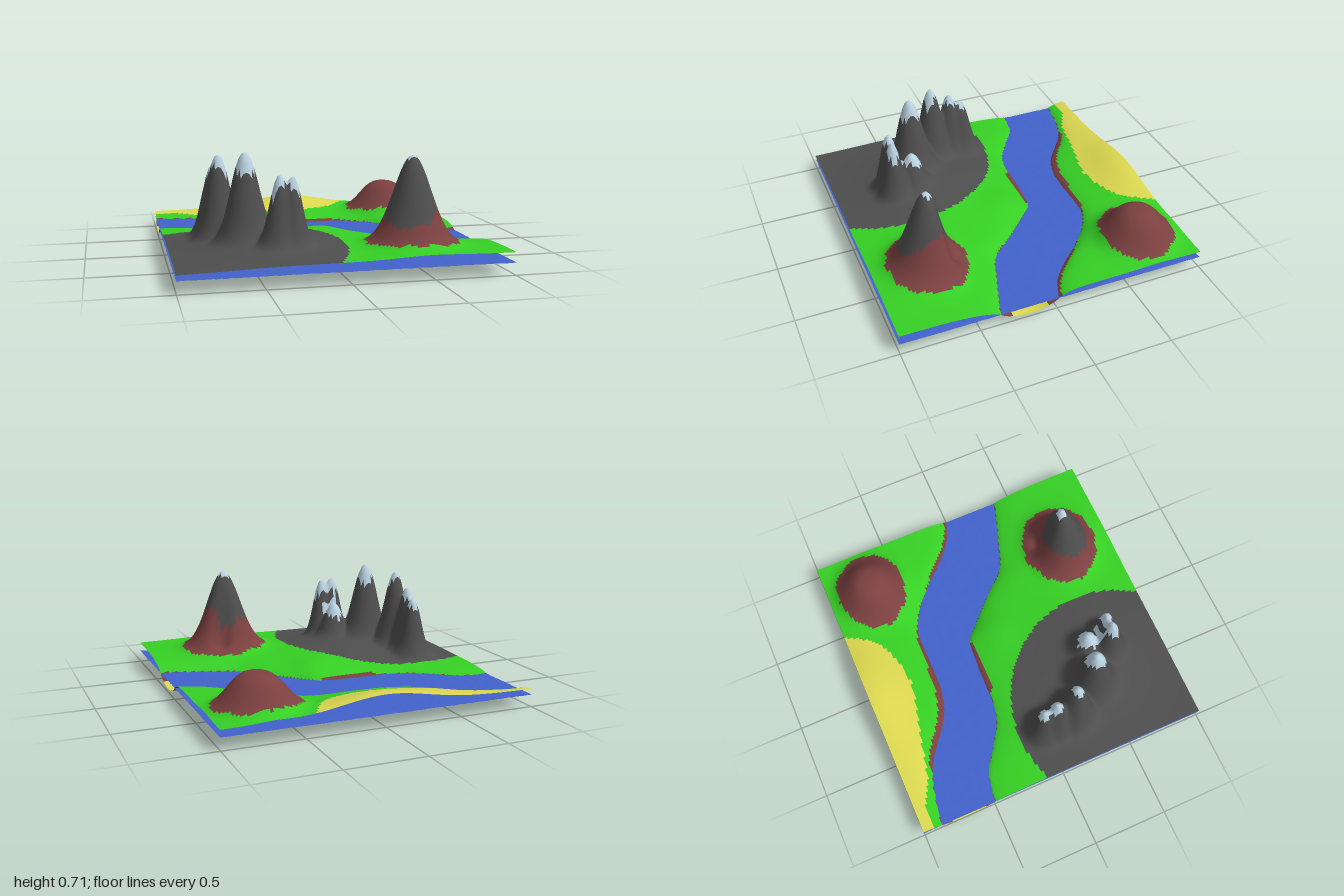
import * as THREE from 'three';

const COLORS = {
  grass: 0x36d024, sand: 0xdcd850, earth: 0x7c4040, rock: 0x4e4e4e, snow: 0xbcd4e4, water: 0x4262cc,
};
const CELLS = 110;
const SEA = 0.08;

// Smooth curve through [x, value] pairs
function curve(pairs) {
  const f = new THREE.CubicInterpolant(pairs.map(p => p[0]), pairs.map(p => p[1]), 1);
  return x => f.evaluate(x)[0];
}
const northBank = curve([[-1, -0.87], [-0.85, -0.85], [-0.6, -0.77], [-0.35, -0.59], [-0.2, -0.535], [0, -0.52],
  [0.3, -0.51], [0.45, -0.44], [0.6, -0.31], [0.72, -0.18], [0.85, -0.07], [1, -0.01]]);
const southBank = curve([[-1, -0.5], [-0.8, -0.46], [-0.65, -0.36], [-0.5, -0.27], [-0.3, -0.24], [0, -0.23],
  [0.1, -0.21], [0.2, -0.12], [0.35, 0.03], [0.5, 0.19], [0.7, 0.27], [1, 0.37]]);
const sandEdge = curve([[-1, -0.93], [-0.85, -0.92], [-0.7, -0.85], [-0.5, -0.8], [-0.25, -0.74], [-0.05, -0.7],
  [0.15, -0.73], [0.3, -0.8], [0.4, -0.93], [0.45, -1.02], [1, -1.3]]);
const bareBank = curve([[-1, -0.01], [-0.67, 0], [-0.55, 0.04], [-0.3, 0.05], [-0.1, 0.04], [0.2, 0.025],
  [0.4, 0], [0.55, 0], [0.7, 0.03], [1, 0.015]]);

// Rock peaks: x, z, top height, radius
const PEAKS = [
  [-0.69, 0.07, 0.64, 0.085], [-0.69, -0.015, 0.58, 0.085], [-0.67, 0.21, 0.71, 0.1], [-0.53, 0.41, 0.71, 0.115],
  [-0.35, 0.62, 0.6, 0.082], [-0.27, 0.62, 0.59, 0.075], [-0.31, 0.48, 0.42, 0.09],
];
const CONE = [0.47, 0.63];
const HILL = [0.69, -0.7];

const bell = (x, z, cx, cz, sx, sz = sx) => Math.exp(-(((x - cx) / sx) ** 2 + ((z - cz) / sz) ** 2));
const wobble = (x, z) => Math.sin(x * 37 + z * 11) * 0.5 + Math.sin(z * 43 - x * 19) * 0.5;

function height(x, z) {
  const n = northBank(x), s = southBank(x);
  // River bed, shallower at both ends
  if (z > n && z < s) {
    const depth = 0.056 + 0.024 * Math.max(0, Math.cos(x * 1.5));
    return SEA - depth * Math.sin(Math.PI * (z - n) / (s - n)) ** 0.65;
  }
  const north = z <= n;
  const d = north ? n - z : z - s;
  const rise = 1 - Math.exp(-d / (north ? 0.07 : 0.13));
  let y = SEA + rise * (north ? 0.042 : 0.03 + 0.015 * (x + 1));
  if (north) {
    // Dune ridge and round hill
    y += rise * 0.08 * bell(x, z, 0, -0.97, 0.38, 0.22);
    y += 0.215 * Math.exp(-((Math.hypot(x - HILL[0], z - HILL[1]) / 0.205) ** 3));
    return y;
  }
  // Broad rocky rise with a row of steep peaks
  y += rise * (0.085 * bell(x, z, -0.35, 0.38, 0.42) + 0.025 * bell(x, z, 0.05, -0.05, 0.15)
    + 0.02 * bell(x, z, 0.47, 0.8, 0.35));
  let sum = 0;
  for (const [px, pz, top, r] of PEAKS) {
    const e = Math.exp(-((Math.hypot(x - px, z - pz) / r) ** 2.3));
    sum += ((top - 0.19) * e) ** 6;
  }
  y += sum ** (1 / 6);
  // Lone cone with a gully on its north face
  const cz = z < CONE[1] ? CONE[1] + (z - CONE[1]) * 1.25 : z;
  y += 0.545 * bell(x, cz, CONE[0], CONE[1], 0.163) * (1 - 0.75 * bell(x, z, 0.53, 0.49, 0.075, 0.055));
  return y;
}

function zone(x, z) {
  const y = height(x, z), w = wobble(x, z);
  const n = northBank(x), s = southBank(x);
  if (z > n && z < s) return y < 0.04 ? 'sand' : 'earth';
  if (z <= n) {
    if (n - z < bareBank(x)) return 'earth';
    if (z < sandEdge(x)) return 'sand';
    return Math.hypot((x - HILL[0]) / 0.275, (z - HILL[1]) / 0.235) < 1 + 0.04 * w ? 'earth' : 'grass';
  }
  if (x > -0.3 && x < 0.08 && z - s < 0.03) return 'earth';
  for (const [px, pz, top, r] of PEAKS) {
    if (Math.hypot(x - px, z - pz) < r && y > top * (0.84 + 0.06 * w)) return 'snow';
  }
  if (Math.hypot(x + 0.7, z - 0.58) < 0.76) return 'rock';
  if (y > 0.672 + 0.012 * w) return 'snow';
  if (Math.hypot(x - 0.45, z - 0.67) < 0.155) return 'rock';
  return Math.hypot((x - 0.475) / 0.295, (z - 0.65) / 0.255) < 1 + 0.04 * w ? 'earth' : 'grass';
}

function material(color) {
  return new THREE.MeshStandardMaterial({ color, side: THREE.DoubleSide });
}

// Horizontal 2 x 2 grid lifted by a rule
function surface(cells, rule) {
  const geo = new THREE.PlaneGeometry(2, 2, cells, cells).rotateX(-Math.PI / 2);
  const p = geo.attributes.position;
  for (let i = 0; i < p.count; i++) p.setY(i, rule(p.getX(i), p.getZ(i)));
  geo.computeVertexNormals();
  return geo;
}

export function createModel() {
  const group = new THREE.Group();
  group.name = 'landscape';

  // Land: one smooth surface, its cells sorted into ground types
  const land = surface(CELLS, height);
  const p = land.attributes.position, index = land.index.array;
  const faces = { grass: [], sand: [], earth: [], rock: [], snow: [] };
  for (let i = 0; i < index.length; i += 6) {
    const a = index[i + 1], b = index[i + 5];
    faces[zone((p.getX(a) + p.getX(b)) / 2, (p.getZ(a) + p.getZ(b)) / 2)].push(...index.slice(i, i + 6));
  }
  for (const [name, list] of Object.entries(faces)) {
    const geo = new THREE.BufferGeometry();
    geo.setAttribute('position', p);
    geo.setAttribute('normal', land.attributes.normal);
    geo.setIndex(list);
    const mesh = new THREE.Mesh(geo, material(COLORS[name]));
    mesh.name = name;
    group.add(mesh);
  }

  // Water: a faintly rippled sheet under the whole land
  let seed = 7;
  const random = () => (seed = (seed * 16807) % 2147483647) / 2147483647;
  const water = new THREE.Mesh(surface(80, () => SEA - 0.002 + (random() - 0.5) * 0.004), material(COLORS.water));
  water.name = 'water';
  group.add(water);
  return group;
}
